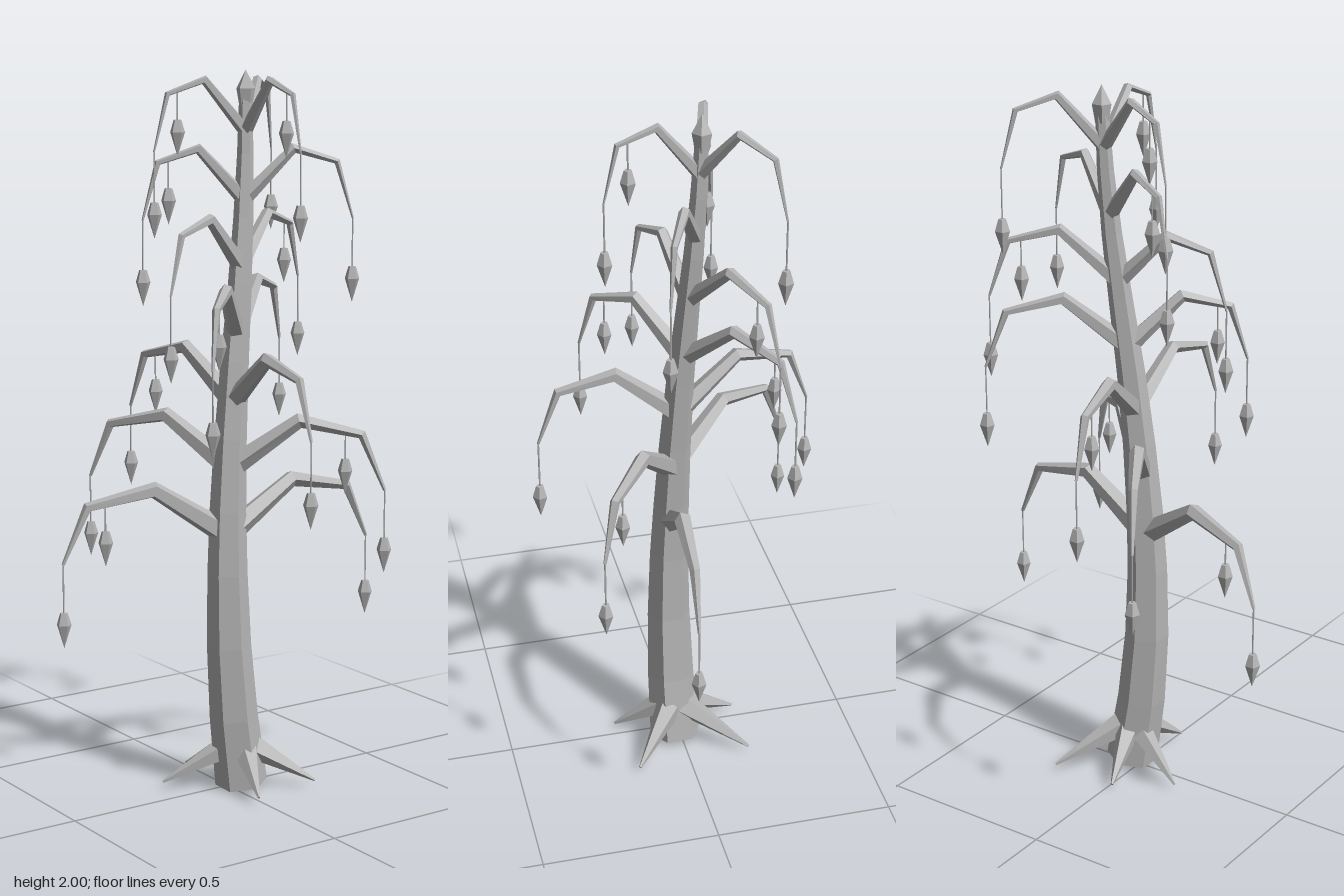
import * as THREE from 'three';

const V = (x, y, z) => new THREE.Vector3(x, y, z);

// Faceted limb: rings of n corners swept along points, capped at both ends
function limb(points, radii, n, sideHint) {
  const rings = points.map((p, i) => {
    const a = points[Math.max(i - 1, 0)], b = points[Math.min(i + 1, points.length - 1)];
    const t = b.clone().sub(a).normalize();
    const u = sideHint.clone().addScaledVector(t, -sideHint.dot(t)).normalize();
    const w = t.clone().cross(u);
    return Array.from({ length: n }, (_, k) => {
      const s = (k / n) * Math.PI * 2;
      return p.clone().addScaledVector(u, Math.cos(s) * radii[i]).addScaledVector(w, Math.sin(s) * radii[i]);
    });
  });
  const pos = [];
  const tri = (...c) => c.forEach((v) => pos.push(v.x, v.y, v.z));
  const last = points.length - 1;
  for (let k = 0; k < n; k++) {
    const m = (k + 1) % n;
    for (let i = 0; i < last; i++) {
      tri(rings[i][k], rings[i][m], rings[i + 1][m]);
      tri(rings[i][k], rings[i + 1][m], rings[i + 1][k]);
    }
    tri(points[0], rings[0][m], rings[0][k]);
    tri(points[last], rings[last][k], rings[last][m]);
  }
  const g = new THREE.BufferGeometry();
  g.setAttribute('position', new THREE.Float32BufferAttribute(pos, 3));
  g.computeVertexNormals();
  return g;
}

// Five-sided solid of revolution with flat faces
function faceted(profile) {
  const g = new THREE.LatheGeometry(profile.map(([r, y]) => new THREE.Vector2(r, y)), 5).toNonIndexed();
  g.computeVertexNormals();
  return g;
}

export function createModel() {
  const tree = new THREE.Group();
  tree.name = 'hangingPodTree';
  const bark = new THREE.MeshStandardMaterial({ color: 0xb4b4b4 });
  bark.name = 'grey bark';

  const add = (parent, name, geometry, at) => {
    const mesh = new THREE.Mesh(geometry, bark);
    mesh.name = name;
    if (at) mesh.position.copy(at);
    parent.add(mesh);
  };

  // Curved trunk, with an edge facing the front
  const trunkPath = new THREE.CatmullRomCurve3([
    V(0.037, 0.012, 0.015), V(-0.002, 0.3, 0.022), V(-0.013, 0.6, 0.02), V(-0.005, 0.85, 0.012),
    V(0.02, 1.15, 0), V(0.055, 1.45, -0.017), V(0.08, 1.7, -0.033), V(0.09, 1.94, -0.043),
  ]);
  const trunkPoints = trunkPath.getPoints(10);
  add(tree, 'trunk', limb(trunkPoints, trunkPoints.map((p) => 0.074 - 0.029 * p.y), 6, V(0, 0, 1)));
  const trunkAt = (y) => {
    const i = Math.max(1, trunkPoints.findIndex((p) => p.y >= y));
    const a = trunkPoints[i - 1], b = trunkPoints[i];
    return a.clone().lerp(b, (y - a.y) / (b.y - a.y));
  };

  // Pointed bud at the top
  add(tree, 'topBud', faceted([[0, -0.1], [0.018, -0.1], [0.027, -0.05], [0, 0]]), V(0.09, 2, -0.043));

  // Spreading roots: angle in degrees and reach
  [[-54, 0.235], [42, 0.21], [109, 0.18], [203, 0.225], [252, 0.2]].forEach(([deg, reach]) => {
    const a = THREE.MathUtils.degToRad(deg);
    const at = (d, y) => V(0.037 + Math.cos(a) * d, y, 0.015 + Math.sin(a) * d);
    add(tree, 'root', limb([at(0.03, 0.12), at(reach, 0.025)], [0.038, 0.004], 5, V(-Math.sin(a), 0, Math.cos(a))));
  });

  // Hanging pods on threads
  const podShape = faceted([[0, -0.055], [0.021, 0.01], [0.011, 0.043], [0, 0.043]]);
  const hang = (parent, from, podY) => {
    const top = podY + 0.04, length = from.y - top;
    add(parent, 'thread', new THREE.CylinderGeometry(0.0025, 0.0025, length, 4), V(from.x, top + length / 2, from.z));
    add(parent, 'pod', podShape, V(from.x, podY, from.z));
  };

  // Drooping branches in seven tiers, given by the x and z of each tip and
  // whether a second pod hangs further in
  const tiers = [
    [[-0.453, -0.125, true], [0.45, 0.047, false]],
    [[0.335, 0.275, true], [-0.225, -0.36, false]],
    [[-0.07, -0.39, true], [0, 0.385, false]],
    [[-0.202, 0.228, true], [0.345, -0.235, false]],
    [[0.37, -0.18, true], [-0.23, 0.072, false]],
    [[-0.182, -0.14, true], [0.35, 0.1, false]],
    [[0.09, 0.21, true], [0.295, -0.21, false], [-0.16, -0.115, true]],
  ];
  tiers.forEach((tips, level) => {
    const lift = level * 0.1835;
    const size = 1 - level * 0.075;
    tips.forEach(([x, z, innerPod]) => {
      const branch = new THREE.Group();
      branch.name = 'branch';
      tree.add(branch);
      const root = trunkAt(0.735 + lift);
      const along = (f, y) => V(root.x + (x - root.x) * f, y + lift, root.z + (z - root.z) * f);
      const path = [along(0, 0.735), along(0.45, 0.872), along(0.85, 0.835), along(1, 0.68)];
      const side = V(root.z - z, 0, x - root.x).normalize();
      add(branch, 'bough', limb(path, [0.035, 0.024, 0.015, 0.005].map((r) => r * size), 5, side));
      hang(branch, along(1, 0.685), 0.503 + lift);
      if (innerPod) hang(branch, along(0.745, 0.846), 0.723 + lift);
    });
  });
  return tree;
}
